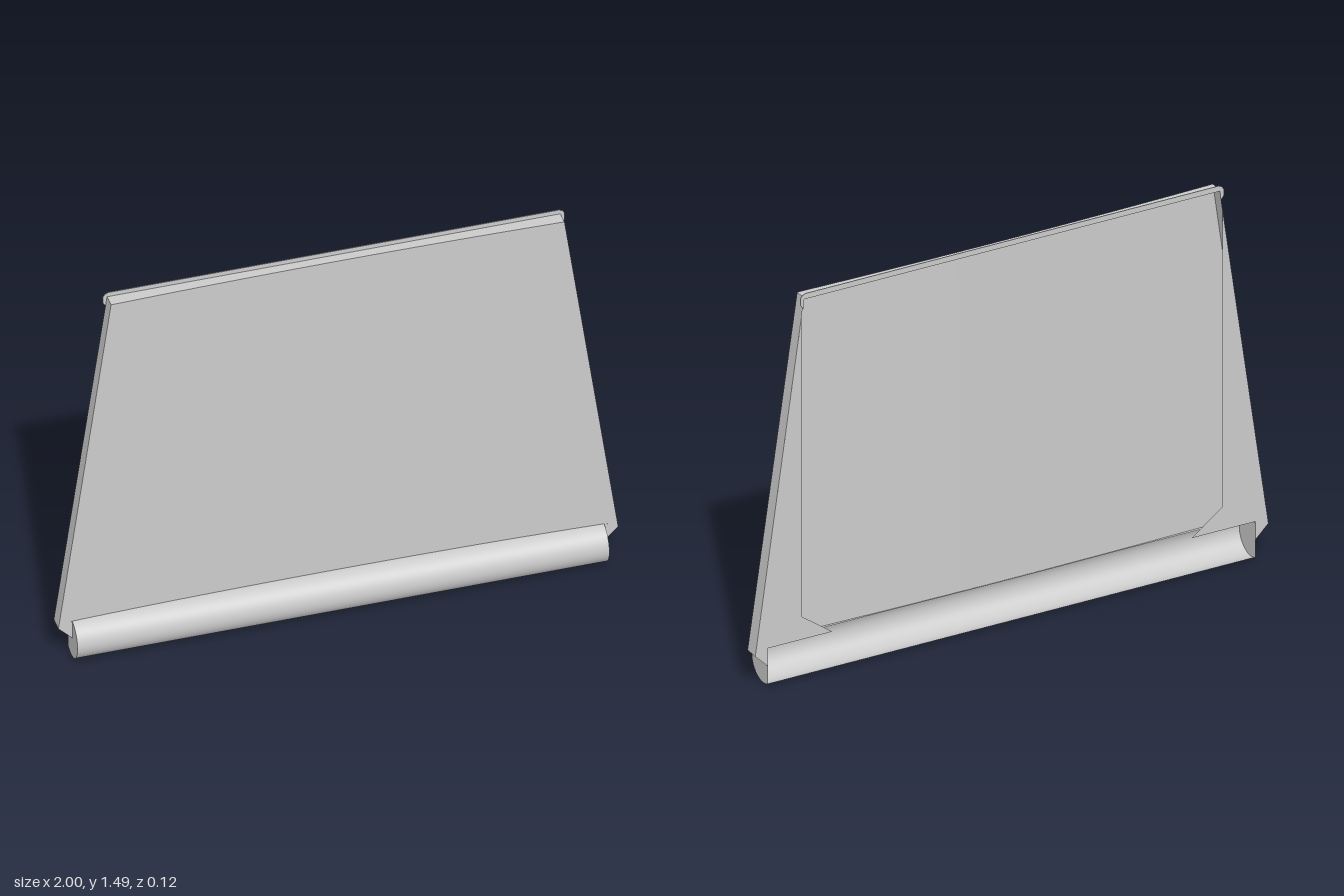
import * as THREE from 'three';

const material = new THREE.MeshStandardMaterial({ color: 0xcccccc, side: THREE.DoubleSide });
const BACK = -0.055, TOP = 1.475, CORNER = 0.13, SEAM = 0.15;
const TUBE = { y: 0.0765, z: -0.015, r: 0.0765, half: 0.95 };

// Half width of the tapering panel at height y, and its shallow hollow across x
const halfWidth = (y) => 1 - 0.19 * (y - CORNER) / (TOP - CORNER);
const frontZ = (x) => -0.018 * (1 - x * x);

function addMesh(parent, name, geometry) {
  const mesh = new THREE.Mesh(geometry, material);
  mesh.name = name;
  parent.add(mesh);
  return mesh;
}

function polygon(points) {
  return new THREE.Shape(points.map(([x, y]) => new THREE.Vector2(x, y)));
}

// Strip running from the front surface back to the rim along an outline
function wall(points) {
  const pos = [], index = [];
  points.forEach(([x, y], i) => {
    pos.push(x, y, frontZ(x), x, y, BACK);
    if (i) index.push(2 * i - 2, 2 * i - 1, 2 * i, 2 * i, 2 * i - 1, 2 * i + 1);
  });
  let g = new THREE.BufferGeometry();
  g.setAttribute('position', new THREE.Float32BufferAttribute(pos, 3));
  g.setIndex(index);
  g = g.toNonIndexed();
  g.computeVertexNormals();
  return g;
}

export function createModel() {
  const model = new THREE.Group();
  model.name = 'trayPanel';

  // Slightly hollow, tapering front sheet
  const sheet = new THREE.PlaneGeometry(2, 1, 24, 6);
  const p = sheet.attributes.position;
  for (let i = 0; i < p.count; i++) {
    const y = SEAM + (p.getY(i) + 0.5) * (TOP - SEAM);
    const x = p.getX(i) * halfWidth(y);
    p.setXYZ(i, x, y, frontZ(x));
  }
  sheet.computeVertexNormals();
  addMesh(model, 'frontPanel', sheet);

  // Top wall follows the hollow of the sheet
  const topHalf = halfWidth(TOP);
  const topLine = [];
  for (let i = 0; i <= 24; i++) topLine.push([topHalf * (i / 12 - 1), TOP]);
  addMesh(model, 'topWall', wall(topLine));

  // Thin lip around the top edge with clipped corners
  const lip = polygon([
    [-0.81, TOP - 0.004], [-0.814, 1.435], [-0.825, 1.45], [-0.825, 1.475], [-0.818, 1.486], [-0.805, 1.492],
    [0.805, 1.492], [0.818, 1.486], [0.825, 1.475], [0.825, 1.45], [0.814, 1.435], [0.81, TOP - 0.004],
  ]);
  const lipGeometry = new THREE.ExtrudeGeometry(lip, { depth: 0.003, bevelEnabled: false });
  addMesh(model, 'topLip', lipGeometry.translate(0, 0, BACK - 0.002));

  // Mirrored side parts
  for (const [name, s] of [['left', 1], ['right', -1]]) {
    const side = new THREE.Group();
    side.name = name + 'Side';
    side.scale.x = s;
    model.add(side);

    addMesh(side, 'sideWall', wall([[topHalf, TOP], [1, CORNER], [0.95, 0.08]]));

    // Back flange widening towards the bottom
    const flange = polygon([
      [0.82, 1.404], [1, CORNER], [0.95, 0.08], [0.95, SEAM],
      [0.7, SEAM], [0.82, 0.24],
    ]);
    addMesh(side, 'backFlange', new THREE.ShapeGeometry(flange).translate(0, 0, BACK));

    // Front of the small corner beside the tube
    const corner = polygon([[0.95, 0.08], [1, CORNER], [halfWidth(SEAM), SEAM], [0.95, SEAM]]);
    addMesh(side, 'frontCorner', new THREE.ShapeGeometry(corner).translate(0, 0, frontZ(0.97)));

    // Flat-backed disc closing the tube end
    const cut = Math.acos((BACK - TUBE.z) / TUBE.r);
    const disc = new THREE.Shape();
    disc.absarc(0, 0, TUBE.r, -cut, cut, false);
    const cap = new THREE.ShapeGeometry(disc, 32).rotateY(-Math.PI / 2);
    addMesh(side, 'tubeEnd', cap.translate(TUBE.half, TUBE.y, TUBE.z));
  }

  // Rounded trough along the bottom, open at the back
  const start = -Math.acos((BACK - TUBE.z) / TUBE.r);
  const tube = new THREE.CylinderGeometry(TUBE.r, TUBE.r, 2 * TUBE.half, 40, 1, true, start, 1.63 - start);
  addMesh(model, 'bottomTube', tube.rotateZ(Math.PI / 2).translate(0, TUBE.y, TUBE.z));

  return model;
}
